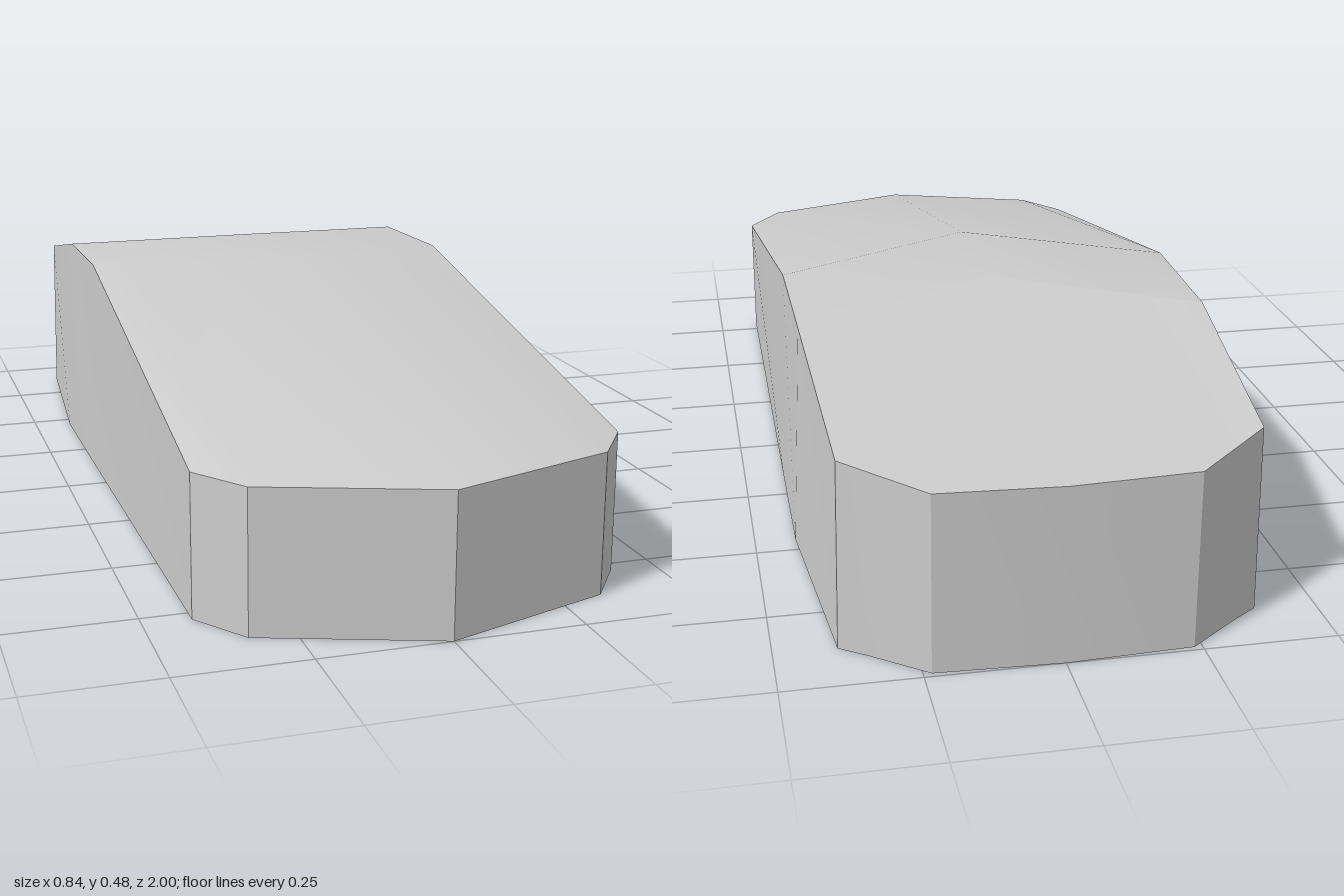
import * as THREE from 'three';
import { toCreasedNormals } from 'three/addons/utils/BufferGeometryUtils.js';

const material = new THREE.MeshStandardMaterial({ color: 0xcccccc });

// Skin a grid of points (rows of equal length) into one surface.
function skin(name, rows, flip = false) {
  const n = rows[0].length, index = [];
  for (let r = 0; r < rows.length - 1; r++) {
    for (let c = 0; c < n - 1; c++) {
      const a = r * n + c, b = a + 1, d = a + n, e = d + 1;
      index.push(...(flip ? [a, d, b, b, d, e] : [a, b, d, b, e, d]));
    }
  }
  const g = new THREE.BufferGeometry();
  g.setAttribute('position', new THREE.Float32BufferAttribute(rows.flat(2), 3));
  g.setIndex(index);
  const mesh = new THREE.Mesh(toCreasedNormals(g, 0.5), material);
  mesh.name = name;
  return mesh;
}

// Mirror the half row (centre to side) across x = 0, giving a row from -x to +x.
const mirror = (half) => [
  ...half.slice(1).reverse().map(([x, y, z]) => [-x, y, z]),
  ...half,
];

export function createModel() {
  const group = new THREE.Group();
  group.name = 'wedgeBody';

  // Rows across the upper surface: [x, y, z] from the centre line to the side
  const columns = [0, 0.235, 0.335];
  const nose = mirror([[0, 0.275, 1], [0.235, 0.275, 0.919], [0.335, 0.275, 0.885], [0.41, 0.275, 0.78]]);
  const crest = mirror([...columns, 0.403].map((x) => [x, 0.475 - 0.05 * x, -0.4 * x]));
  const roofEnd = mirror([...columns, 0.4].map((x) => [x, 0.477 - 0.073 * x, -0.31 - 0.37 * x]));
  const tail = mirror([[0, 0.34, -1], [0.235, 0.342, -0.99], [0.335, 0.357, -0.914], [0.38, 0.364, -0.88]]);

  // Matching footprint; the sides lean outward slightly towards the ground
  const sideX = [0.41, 0.418, 0.42, 0.385];
  const top = [nose, crest, roofEnd, tail];
  const foot = top.map((row, r) => row.map(([x, , z], c) =>
    [c === 0 ? -sideX[r] : c === row.length - 1 ? sideX[r] : x, 0, z]));

  // Sloping front and roof, then the rear deck behind a sharp chevron crease
  group.add(skin('frontAndRoof', [nose, crest, roofEnd], true).translateY(0));
  group.add(skin('rearDeck', [roofEnd, tail], true));
  group.add(skin('underside', foot));

  // Vertical wall running once around the outline
  const around = (rows) => {
    const last = rows[0].length - 1;
    return [
      ...rows[0],
      ...rows.slice(1, -1).map((row) => row[last]),
      ...[...rows[3]].reverse(),
      ...rows.slice(1, -1).reverse().map((row) => row[0]),
      rows[0][0],
    ];
  };
  group.add(skin('sideWalls', [around(foot), around(top)]));

  // Rows run front to back, so the upper panels face up with the plain winding reversed
  group.traverse((part) => {
    if (part.name === 'frontAndRoof' || part.name === 'rearDeck') orient(part, 1);
    if (part.name === 'underside') orient(part, -1);
  });
  return group;
}

// Make a panel face up (1) or down (-1).
function orient(mesh, sign) {
  const p = mesh.geometry.attributes.position, n = mesh.geometry.attributes.normal;
  if (n.getY(0) * sign > 0) return;
  for (let i = 0; i < p.count; i += 3) {
    for (const attr of [p, n]) {
      const a = new THREE.Vector3().fromBufferAttribute(attr, i);
      const b = new THREE.Vector3().fromBufferAttribute(attr, i + 1);
      attr.setXYZ(i, b.x, b.y, b.z);
      attr.setXYZ(i + 1, a.x, a.y, a.z);
    }
  }
  for (let i = 0; i < n.count; i++) n.setXYZ(i, -n.getX(i), -n.getY(i), -n.getZ(i));
}
